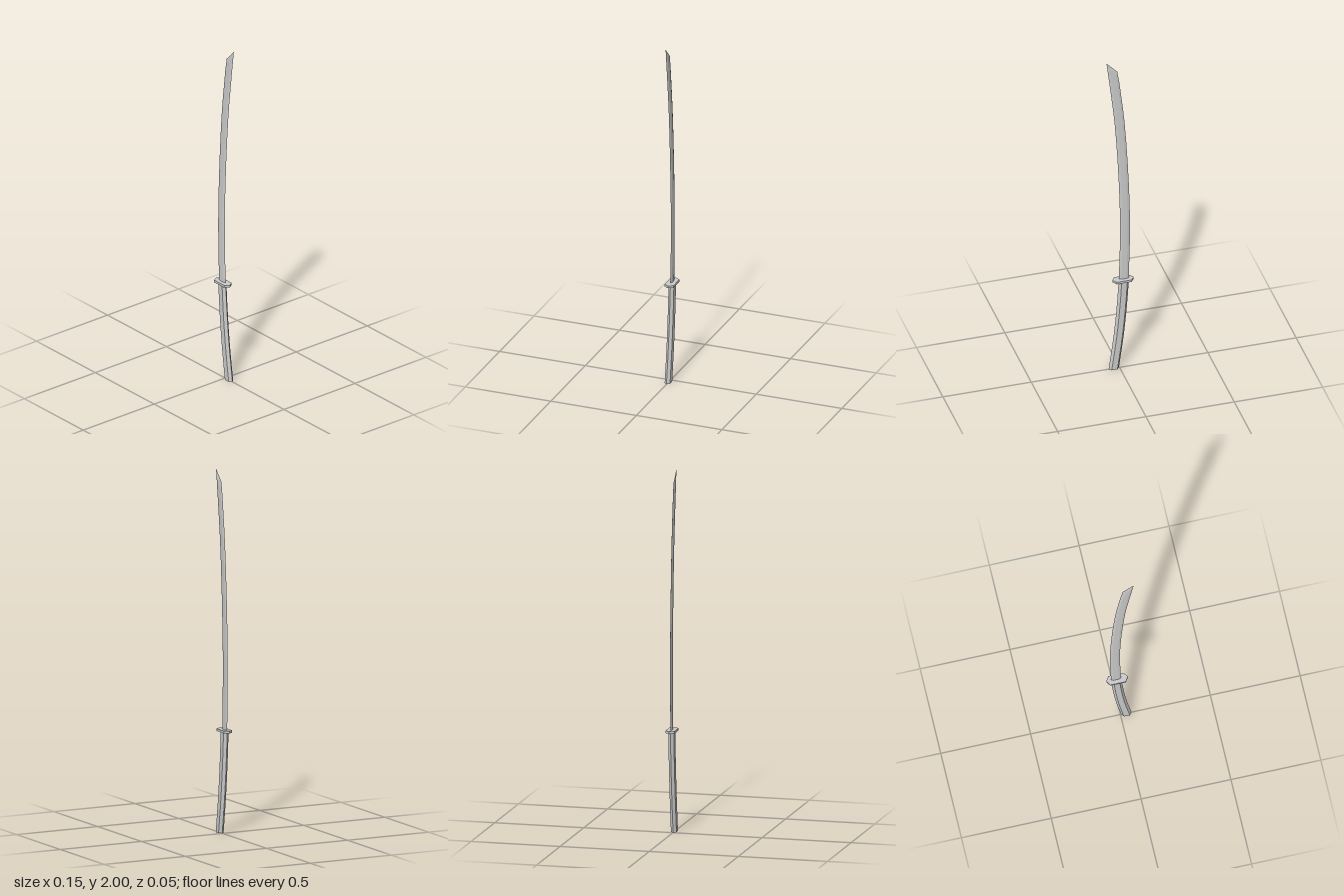
import * as THREE from 'three';

const material = new THREE.MeshStandardMaterial({ color: 0xcccccc, flatShading: true, name: 'grey' });

// Hexagonal ring: pointed at both x ends, flat on the front and back
function hexRing(x, y, halfWidth, halfDepth, bevel) {
  const f = halfWidth - bevel;
  return [
    [x - halfWidth, y, 0], [x - f, y, halfDepth], [x + f, y, halfDepth],
    [x + halfWidth, y, 0], [x + f, y, -halfDepth], [x - f, y, -halfDepth],
  ];
}

// Skin a stack of rings from bottom to top and close both ends
function loft(name, rings) {
  const pos = [];
  const tri = (a, b, c) => pos.push(...a, ...b, ...c);
  const n = rings[0].length;
  for (let k = 0; k < rings.length - 1; k++) {
    const a = rings[k], b = rings[k + 1];
    for (let i = 0; i < n; i++) {
      const j = (i + 1) % n;
      tri(a[i], a[j], b[j]);
      tri(a[i], b[j], b[i]);
    }
  }
  const first = rings[0], last = rings[rings.length - 1];
  for (let i = 1; i < n - 1; i++) {
    tri(first[0], first[i + 1], first[i]);
    tri(last[0], last[i], last[i + 1]);
  }
  const geo = new THREE.BufferGeometry();
  geo.setAttribute('position', new THREE.Float32BufferAttribute(pos, 3));
  geo.computeVertexNormals();
  const mesh = new THREE.Mesh(geo, material);
  mesh.name = name;
  return mesh;
}

// Rings along a curved centre line
function sweep(points, steps, halfWidth, halfDepth, bevel) {
  const curve = new THREE.CatmullRomCurve3(points.map(([x, y]) => new THREE.Vector3(x, y, 0)));
  return curve.getPoints(steps).map((p) => hexRing(p.x, p.y, halfWidth, halfDepth, bevel));
}

export function createModel() {
  const group = new THREE.Group();
  group.name = 'sword';

  // Grip, curving away from the guard
  group.add(loft('handle', sweep(
    [[0.033, 0], [0.006, 0.2], [-0.013, 0.4], [-0.024, 0.57]], 8, 0.029, 0.0155, 0.013)));

  // Flat hexagonal guard plate
  group.add(loft('guard', [0.564, 0.577].map((y) => hexRing(-0.019, y, 0.06, 0.026, 0.017))));

  // Thin curved blade
  const rings = sweep(
    [[-0.024, 0.57], [-0.031, 0.9], [-0.024, 1.2], [0, 1.6], [0.029, 1.86]], 12, 0.028, 0.004, 0.014);

  // Slanted point: the bevels meet along the line from edge corner to tip
  const d = 0.004;
  rings.push([
    [0.013, 1.936, 0], [0.029, 1.907, d], [0.054, 1.95, d],
    [0.074, 2, 0], [0.054, 1.95, -d], [0.029, 1.907, -d],
  ]);
  group.add(loft('blade', rings));

  return group;
}
